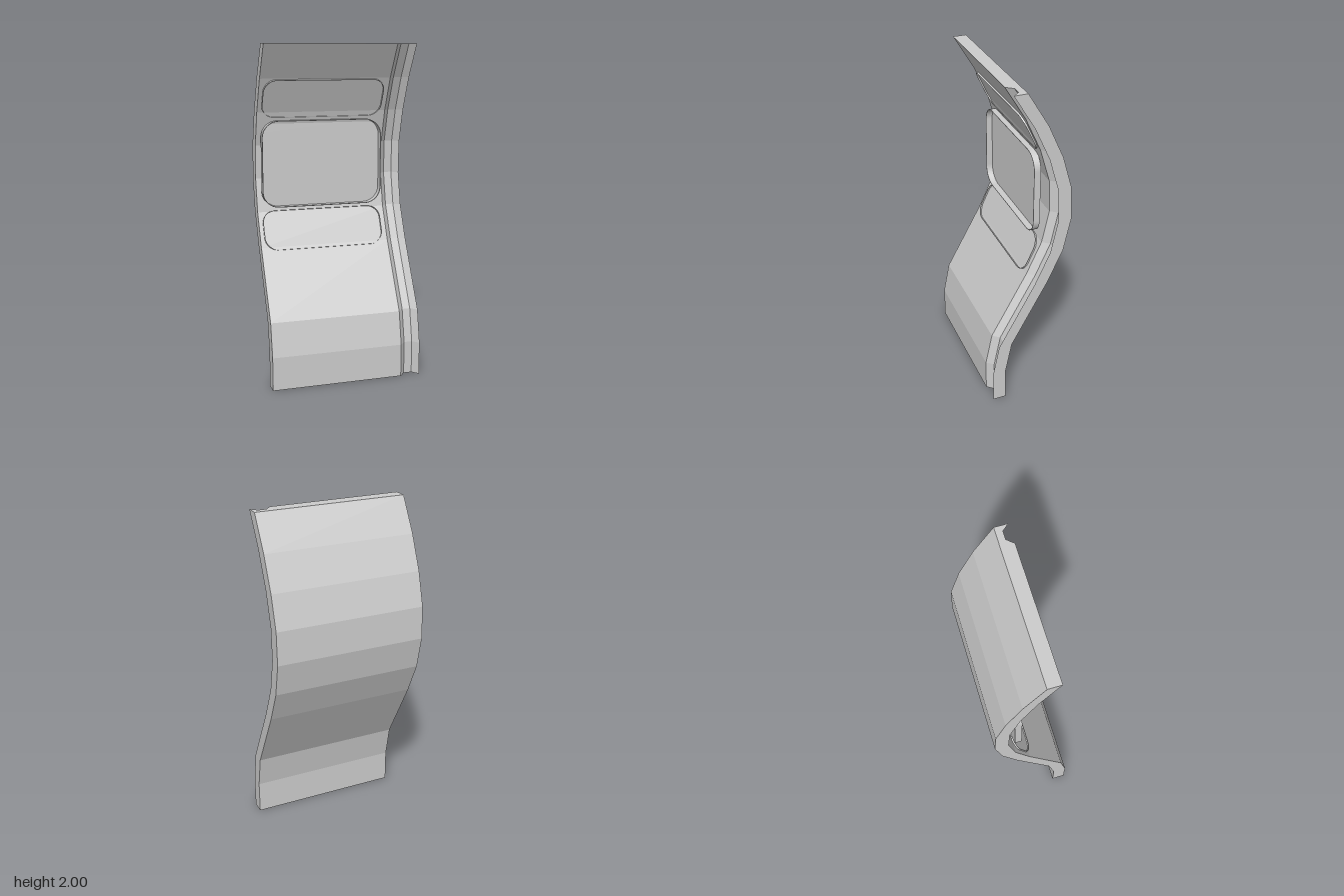
import * as THREE from 'three';

const material = new THREE.MeshStandardMaterial({ color: 0xcccccc, flatShading: true });
const sheet = new THREE.MeshStandardMaterial({ color: 0xcccccc, side: THREE.DoubleSide });

// Front edge of the curved panel: [height, z]
const PROFILE = [
  [0, 0.24], [0.2, 0.24], [0.4, 0.2], [0.8, -0.02], [1, -0.112],
  [1.2, -0.155], [1.4, -0.148], [1.6, -0.09], [1.8, 0], [2, 0.12],
];
// Plan of the panel with its groove: [x, z offset], front then back
const SECTION = [
  [-0.46, 0], [0.34, 0], [0.375, -0.04], [0.425, -0.04],
  [0.46, 0], [0.46, -0.08], [-0.46, -0.08],
];

// Sweep the plan up the profile and close both ends
function panelGeometry() {
  const positions = [];
  const n = SECTION.length;
  const put = (row, i) => {
    const [y, z] = PROFILE[row];
    const [x, dz] = SECTION[i % n];
    positions.push(x, y, z + dz);
  };
  const top = PROFILE.length - 1;
  for (let r = 0; r < top; r++) {
    for (let i = 0; i < n; i++) {
      put(r, i); put(r, i + 1); put(r + 1, i + 1);
      put(r, i); put(r + 1, i + 1); put(r + 1, i);
    }
  }
  const outline = SECTION.map(([x, z]) => new THREE.Vector2(x, -z));
  for (const [a, b, c] of THREE.ShapeUtils.triangulateShape(outline, [])) {
    put(top, a); put(top, b); put(top, c);
    put(0, a); put(0, c); put(0, b);
  }
  const geometry = new THREE.BufferGeometry();
  geometry.setAttribute('position', new THREE.Float32BufferAttribute(positions, 3));
  geometry.computeVertexNormals();
  return geometry;
}

// Rounded rectangle centred on the origin
function roundedRect(w, h, r, target = new THREE.Shape()) {
  const x = w / 2, y = h / 2;
  target.moveTo(-x + r, -y);
  target.lineTo(x - r, -y);
  target.absarc(x - r, -y + r, r, -Math.PI / 2, 0);
  target.lineTo(x, y - r);
  target.absarc(x - r, y - r, r, 0, Math.PI / 2);
  target.lineTo(-x + r, y);
  target.absarc(-x + r, y - r, r, Math.PI / 2, Math.PI);
  target.lineTo(-x, -y + r);
  target.absarc(-x + r, -y + r, r, Math.PI, Math.PI * 1.5);
  return target;
}

// Shallow tray: thin rim with a floor at the back, front edge at z = 0
function tray(name, w, h, r, depth) {
  const lip = 0.004;
  const group = new THREE.Group();
  group.name = name;

  const rimShape = roundedRect(w, h, r);
  rimShape.holes.push(roundedRect(w - 2 * lip, h - 2 * lip, r - lip, new THREE.Path()));
  const rim = new THREE.Mesh(
    new THREE.ExtrudeGeometry(rimShape, { depth, bevelEnabled: false, curveSegments: 8 }), sheet);
  rim.name = name + 'Rim';
  rim.position.z = -depth;

  const floor = new THREE.Mesh(new THREE.ShapeGeometry(roundedRect(w, h, r), 8), sheet);
  floor.name = name + 'Floor';
  floor.position.z = -depth;

  group.add(rim, floor);
  return group;
}

export function createModel() {
  const model = new THREE.Group();
  model.name = 'curvedWallPanel';

  const panel = new THREE.Mesh(panelGeometry(), material);
  panel.name = 'groovedPanel';
  model.add(panel);

  // Upright tray in the hollow, tilted ones following the panel above and below
  const width = 0.745, x = -0.0625;
  const middle = tray('middleTray', width, 0.52, 0.1, 0.04);
  middle.position.set(x, 1.29, -0.07);

  const upper = tray('upperTray', width, 0.248, 0.08, 0.03);
  upper.position.set(x, 1.678, -0.045);
  upper.rotation.x = 0.437;

  const lower = tray('lowerTray', width, 0.248, 0.08, 0.03);
  lower.position.set(x, 0.898, -0.055);
  lower.rotation.x = -0.427;

  model.add(middle, upper, lower);
  return model;
}
